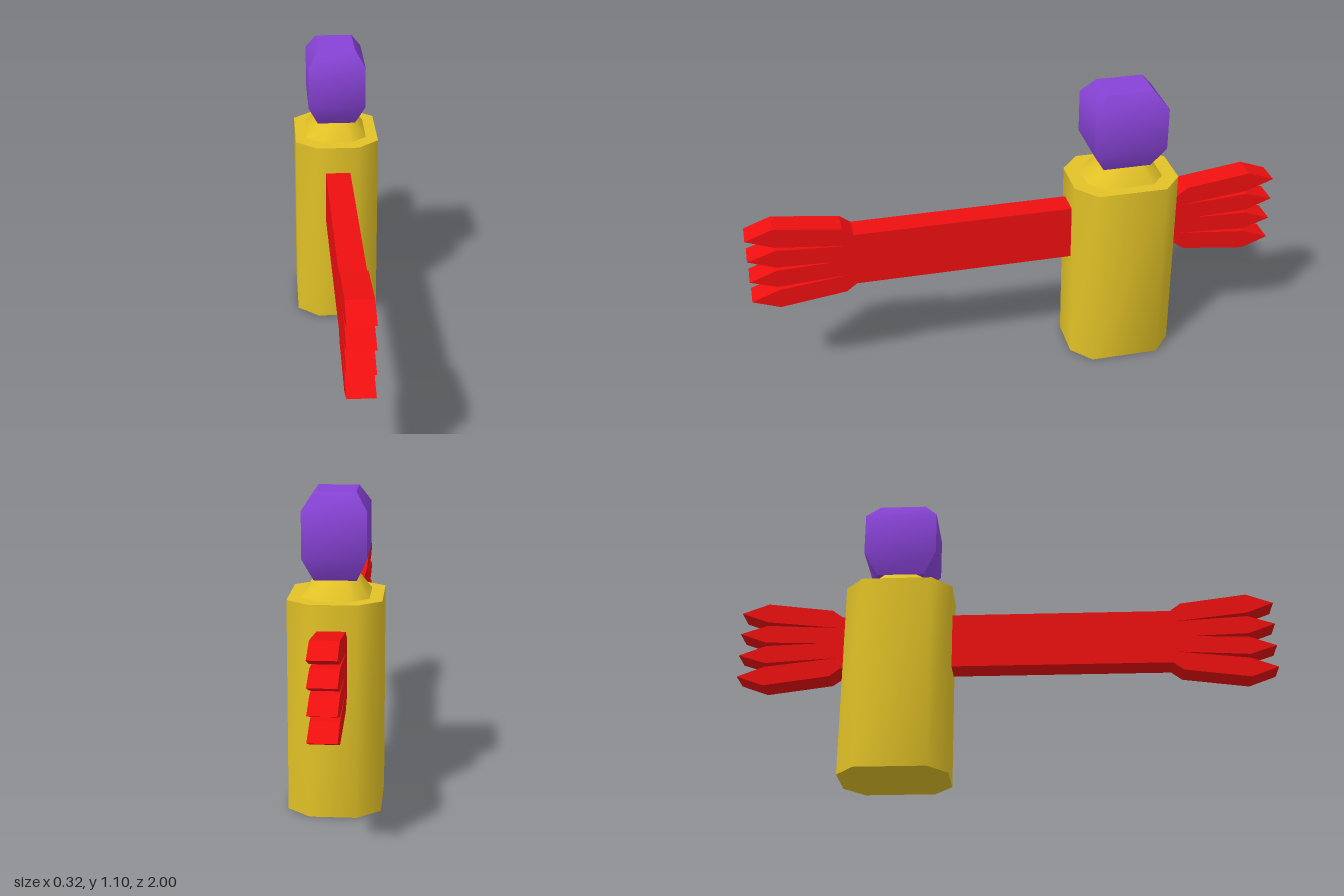
import * as THREE from 'three';
import { toCreasedNormals } from 'three/addons/utils/BufferGeometryUtils.js';

const YELLOW = 0xe2c227, RED = 0xee0f0f, PURPLE = 0x8843d6;
const BODY_Z = -0.4;

// Capped loft of a convex [x, z] outline through sections [y, scaleX, scaleZ]
function loft(outline, sections, crease) {
  const n = outline.length, pos = [], idx = [];
  for (const [y, sx, sz] of sections)
    for (const [x, z] of outline) pos.push(x * sx, y, z * sz);
  for (let s = 0; s < sections.length - 1; s++)
    for (let i = 0; i < n; i++) {
      const a = s * n + i, b = s * n + (i + 1) % n;
      idx.push(a, a + n, b, b, a + n, b + n);
    }
  const top = (sections.length - 1) * n;
  for (let i = 1; i < n - 1; i++) {
    idx.push(0, i, i + 1);
    idx.push(top, top + i + 1, top + i);
  }
  const g = new THREE.BufferGeometry();
  g.setAttribute('position', new THREE.Float32BufferAttribute(pos, 3));
  g.setIndex(idx);
  return toCreasedNormals(g, THREE.MathUtils.degToRad(crease));
}

function addPart(group, name, geometry, color, flatShading = false) {
  const mesh = new THREE.Mesh(geometry, new THREE.MeshStandardMaterial({ color, flatShading }));
  mesh.name = name;
  group.add(mesh);
  return mesh;
}

export function createModel() {
  const group = new THREE.Group();
  group.name = 'figure';

  // Outlines run clockwise seen from above
  const octagon = [[0.16, -0.13], [0.16, 0.13], [0.08, 0.2], [-0.08, 0.2],
    [-0.16, 0.13], [-0.16, -0.13], [-0.08, -0.2], [0.08, -0.2]];
  const rectangle = [[1, -1], [1, 1], [-1, 1], [-1, -1]];

  // Torso, neck and head
  const body = addPart(group, 'body', loft(octagon, [[0, 1, 1], [0.74, 1, 1]], 52), YELLOW);
  const neck = addPart(group, 'neck', loft(octagon, [[0.74, 0.72, 0.72], [0.8, 0.46, 0.46]], 45), YELLOW);
  const head = addPart(group, 'head', loft(rectangle, [
    [0.8, 0.073, 0.09], [0.88, 0.109, 0.137], [1.04, 0.109, 0.137], [1.1, 0.07, 0.088],
  ], 45), PURPLE);
  for (const part of [body, neck, head]) part.position.z = BODY_Z;

  // Arm bar with a four-fingered hand at each end: one quarter of the side
  // outline [z, height above the arm's axis], mirrored lengthwise and vertically
  const quarter = [[0.615, 0.105], [0.655, 0.135], [0.9, 0.167], [1, 0.13], [0.9, 0.092],
    [0.63, 0.062], [0.9, 0.077], [1, 0.044], [0.9, 0.007], [0.71, 0.001]];
  const mirrored = quarter.slice().reverse();
  const outline = [
    ...quarter,
    ...mirrored.map(([z, y]) => [z, -y]),
    ...quarter.map(([z, y]) => [-z, -y]),
    ...mirrored.map(([z, y]) => [-z, y]),
  ].map(([z, y]) => new THREE.Vector2(z, y));
  const width = 0.095;
  const armGeometry = new THREE.ExtrudeGeometry(new THREE.Shape(outline), { depth: width, bevelEnabled: false });
  armGeometry.translate(0, 0, -width / 2).rotateY(-Math.PI / 2);
  addPart(group, 'armsAndHands', armGeometry, RED, true).position.y = 0.53;

  return group;
}
